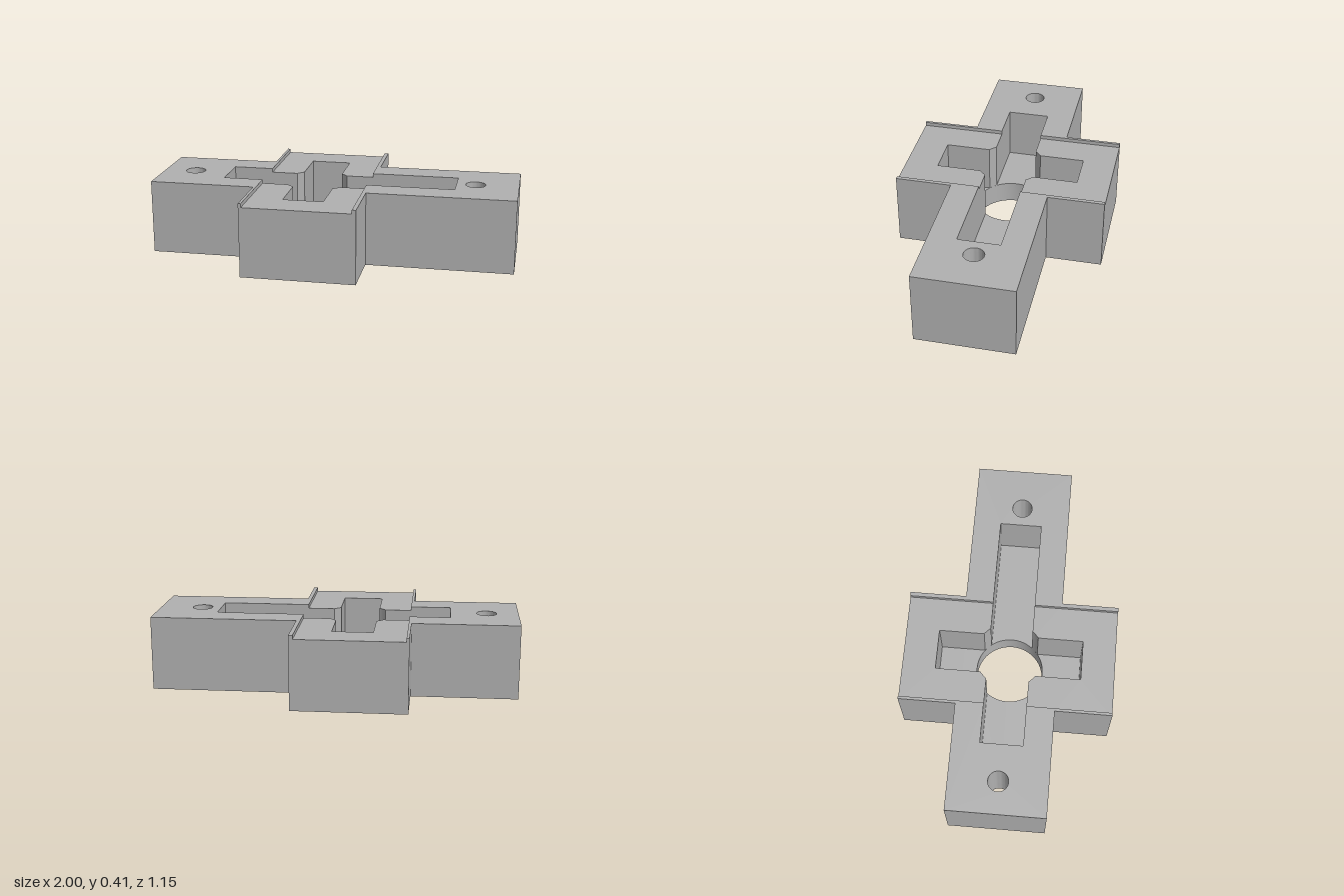
import * as THREE from 'three';
import { toCreasedNormals } from 'three/addons/utils/BufferGeometryUtils.js';

const CX = -0.115;                 // centre of the bore and the cross arm
const R = 0.185;                   // bore radius
const W = 0.267, D = 0.576;        // half depths of the bar and the cross arm
const L = -0.42, RT = 0.2;         // sides of the cross arm
const A = 0.115, B = 0.11;         // half widths of the long and short slots
const SL = -0.625, SR = 0.66;      // ends of the long slot
const SZ = 0.395;                  // ends of the short slot
const FLOOR = 0.12, DECK = 0.386, TOP = 0.407;

const polygon = (pts) => new THREE.Shape(pts.map(([x, z]) => new THREE.Vector2(x, z)));

const circle = (x, r) => new THREE.Path().absarc(x, 0, r, 0, Math.PI * 2);

const crossOutline = () => polygon([
  [-1, -W], [L, -W], [L, -D], [RT, -D], [RT, -W], [1, -W],
  [1, W], [RT, W], [RT, D], [L, D], [L, W], [-1, W],
]);

// Crossed slots whose inner corners are rounded away by the bore
function pocketPath() {
  const a = Math.asin(A / R), b = Math.acos(B / R), p = Math.PI;
  const path = new THREE.Path();
  path.moveTo(SR, -A);
  path.lineTo(SR, A);
  path.absarc(CX, 0, R, a, b);
  path.lineTo(CX + B, SZ);
  path.lineTo(CX - B, SZ);
  path.absarc(CX, 0, R, p - b, p - a);
  path.lineTo(SL, A);
  path.lineTo(SL, -A);
  path.absarc(CX, 0, R, p + a, p + b);
  path.lineTo(CX - B, -SZ);
  path.lineTo(CX + B, -SZ);
  path.absarc(CX, 0, R, 2 * p - b, 2 * p - a);
  path.closePath();
  return path;
}

// Raised end pad with a lip along the cross arm and the slot end cut in
function padOutline(end, side, lip, slotEnd) {
  return polygon([
    [end, -W], [side, -W], [side, -D], [lip, -D], [lip, -A], [slotEnd, -A],
    [slotEnd, A], [lip, A], [lip, D], [side, D], [side, W], [end, W],
  ]);
}

export function createModel() {
  const group = new THREE.Group();
  group.name = 'slottedBlock';
  const grey = new THREE.MeshStandardMaterial({ color: 0xb0b0b0 });
  grey.name = 'grey';

  // Extrudes a plan shape between two heights
  function layer(name, shape, y0, y1, holes) {
    shape.holes.push(...holes);
    const geo = new THREE.ExtrudeGeometry(shape, { depth: y1 - y0, bevelEnabled: false, curveSegments: 24 });
    geo.rotateX(Math.PI / 2).translate(0, y1, 0);
    const mesh = new THREE.Mesh(toCreasedNormals(geo, Math.PI / 5), grey);
    mesh.name = name;
    group.add(mesh);
  }

  const leftBolt = () => circle(0.765, 0.055);
  const rightBolt = () => circle(-0.825, 0.055);

  layer('base', crossOutline(), 0, FLOOR, [circle(CX, R), leftBolt(), rightBolt()]);
  layer('slottedBody', crossOutline(), FLOOR, DECK, [pocketPath(), leftBolt(), rightBolt()]);
  layer('rightPad', padOutline(-1, L, -0.405, SL), DECK, TOP, [rightBolt()]);
  layer('leftPad', padOutline(1, RT, 0.178, SR), DECK, TOP, [leftBolt()]);

  return group;
}
